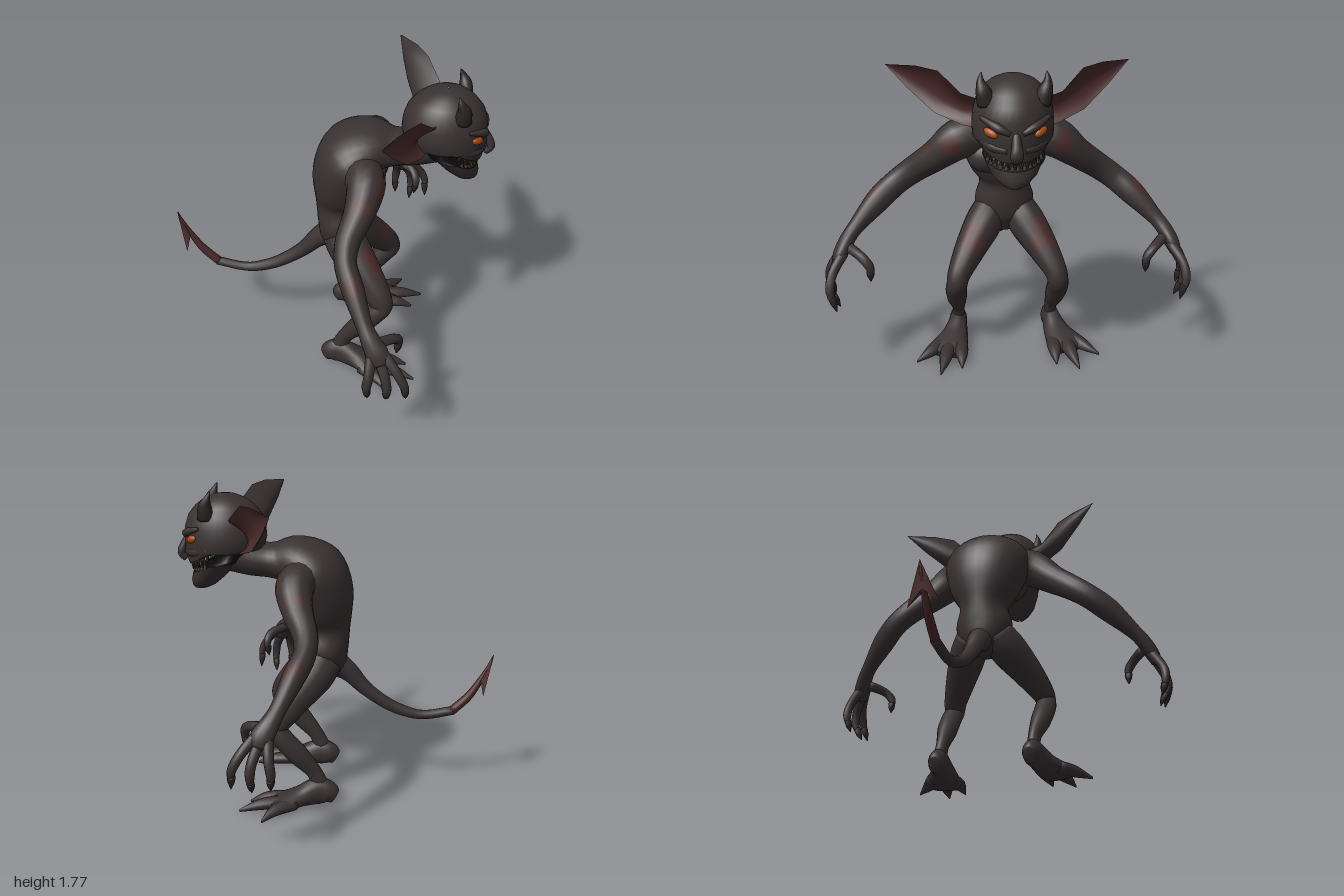
import * as THREE from 'three';

const mat = (name, color, side = THREE.FrontSide) => {
  const m = new THREE.MeshStandardMaterial({ color, side });
  m.name = name;
  return m;
};

// Surface from rows of points; triangles inside a patch sphere [x,y,z,r] use the second material
function grid(rows, closed = true, flip = false, patches = []) {
  const n = rows[0].length, pos = rows.flat().flatMap(p => [p.x, p.y, p.z]);
  const plain = [], marked = [], c = new THREE.Vector3();
  const tri = (a, b, d) => {
    c.set(0, 0, 0);
    for (const k of [a, b, d]) c.add(rows[Math.floor(k / n)][k % n]);
    c.divideScalar(3);
    const hit = patches.some(p => Math.hypot(c.x - p[0], c.y - p[1], c.z - p[2]) < p[3]);
    (hit ? marked : plain).push(...(flip ? [a, d, b] : [a, b, d]));
  };
  for (let i = 0; i < rows.length - 1; i++) {
    for (let j = 0; j < (closed ? n : n - 1); j++) {
      const k = (j + 1) % n, a = i * n + j, b = i * n + k;
      tri(a, b, b + n);
      tri(a, b + n, a + n);
    }
  }
  const g = new THREE.BufferGeometry();
  g.setAttribute('position', new THREE.Float32BufferAttribute(pos, 3));
  g.setIndex([...plain, ...marked]);
  g.addGroup(0, plain.length, 0);
  if (marked.length) g.addGroup(plain.length, marked.length, 1);
  g.computeVertexNormals();
  return g;
}

// Rounded limb through sections [x, y, z, half width along ref, half depth]
function loft(sections, { ref = [0, 0, 1], steps = 4, sides = 16, patches = [], floor = false } = {}) {
  const path = new THREE.CatmullRomCurve3(sections.map(s => new THREE.Vector3(s[0], s[1], s[2])), false, 'catmullrom');
  const size = new THREE.CatmullRomCurve3(sections.map(s => new THREE.Vector3(s[3], s[4] ?? s[3], 0)), false, 'catmullrom');
  const rows = [], count = (sections.length - 1) * steps;
  const ring = (t, scale) => {
    const c = path.getPoint(t), r = size.getPoint(t), T = path.getTangent(t);
    const S = new THREE.Vector3(...ref);
    S.addScaledVector(T, -S.dot(T)).normalize();
    const B = new THREE.Vector3().crossVectors(T, S);
    rows.push(Array.from({ length: sides }, (_, j) => {
      const a = j / sides * Math.PI * 2;
      const p = c.clone().addScaledVector(S, r.x * scale * Math.cos(a)).addScaledVector(B, r.y * scale * Math.sin(a));
      if (floor) p.y = Math.max(0, p.y);
      return p;
    }));
  };
  ring(0, 0);
  for (let i = 0; i <= count; i++) ring(i / count, 1);
  ring(1, 0);
  return grid(rows, true, false, patches);
}

export function createModel() {
  const skin = mat('charcoal skin', 0x393132);
  const red = mat('dull red skin', 0x4a2c2a);
  const earRed = mat('ear lining', 0x4b2b2b);
  const dark = mat('dark claw', 0x2a2424);
  const tooth = mat('dark tooth', 0x43382f);
  const black = mat('mouth black', 0x0d0a0a);
  const orange = mat('orange eye', 0xa84a0c);
  const tailRed = mat('tail red', 0x4a2827, THREE.DoubleSide);

  const root = new THREE.Group();
  root.name = 'impCreature';
  const add = (name, geo, material) => {
    const m = new THREE.Mesh(geo, material);
    m.name = name;
    root.add(m);
    return m;
  };
  const ball = (name, material, at, radii) => {
    const m = add(name, new THREE.SphereGeometry(1, 20, 14), material);
    m.position.set(...at);
    m.scale.set(...radii);
    return m;
  };

  // Hunched torso and neck
  add('torso', loft([
    [.09, .68, 0, .07, .07], [.08, .76, 0, .135, .12], [.08, .86, 0, .165, .135], [.075, .97, 0, .14, .14],
    [.085, 1.06, 0, .19, .165], [.11, 1.18, 0, .235, .195], [.16, 1.29, 0, .26, .2], [.24, 1.355, 0, .21, .145],
    [.36, 1.36, 0, .13, .1], [.48, 1.375, 0, .125, .1], [.6, 1.42, 0, .12, .12],
  ], { sides: 28, patches: [[.28, 1.09, 0, .06]] }), [skin, red]);

  // Head: horizontal rings [y, back x, front x, half width, upward sweep behind the lips]
  const head = [
    [1.2, .765, .79, .004, 0], [1.207, .73, .805, .035, 0], [1.225, .69, .817, .07, 0], [1.255, .63, .82, .115, .02],
    [1.295, .55, .81, .155, .06], [1.3, .52, .69, .135, .07], [1.35, .46, .69, .145, .08], [1.355, .45, .83, .18, .07],
    [1.44, .41, .85, .2, 0], [1.5, .395, .845, .203, 0], [1.56, .4, .845, .198, 0], [1.62, .42, .825, .18, 0],
    [1.67, .46, .785, .15, 0], [1.705, .51, .74, .112, 0], [1.727, .56, .69, .065, 0], [1.735, .62, .63, .004, 0],
  ].map(([y, back, front, half, sweep]) => Array.from({ length: 36 }, (_, j) => {
    const a = j / 36 * Math.PI * 2;
    const x = (back + front) / 2 + (front - back) / 2 * Math.cos(a);
    return new THREE.Vector3(x, y + sweep * THREE.MathUtils.clamp((.82 - x) / .12, 0, 1), -half * Math.sin(a));
  }));
  add('jaw', grid(head.slice(0, 5)), skin);
  add('mouth', grid(head.slice(4, 8)), black);
  add('skull', grid(head.slice(7)), skin);
  add('nose', loft([[.82, 1.51, 0, .02], [.85, 1.455, 0, .025], [.873, 1.405, 0, .032, .022], [.845, 1.37, 0, .025, .02]]), skin);

  // Teeth along both lips
  for (const [name, count, cx, rx, rz, y0, sweep, dir] of [
    ['upperTooth', 13, .64, .172, .165, 1.36, .07, -1], ['lowerTooth', 12, .68, .115, .143, 1.29, .06, 1]]) {
    for (let i = 0; i < count; i++) {
      const a = ((i + .5) / count - .5) * 2.5;
      const x = cx + rx * Math.cos(a);
      const t = add(name, new THREE.ConeGeometry(.013, .06, 6), tooth);
      t.position.set(x, y0 + sweep * THREE.MathUtils.clamp((.82 - x) / .12, 0, 1) + dir * .026, rz * Math.sin(a));
      if (dir < 0) t.rotation.x = Math.PI;
    }
  }

  for (const s of [1, -1]) {
    const side = s > 0 ? 'left' : 'right';
    const mir = list => list.map(([x, y, z, ...r]) => [x, y, z * s, ...r]);

    // Face details
    const eye = ball(side + 'Eye', orange, [.795, 1.5, .118 * s], [.022, .022, .042]);
    eye.rotation.set(-.3 * s, -.67 * s, 0, 'YXZ');
    add(side + 'Brow', loft(mir([[.84, 1.505, .03, .012], [.825, 1.535, .09, .022], [.755, 1.565, .165, .01]]), { ref: [0, 1, 0] }), skin);
    add(side + 'Cheek', loft(mir([[.83, 1.42, .04, .018], [.785, 1.43, .11, .028], [.7, 1.45, .17, .02]]), { ref: [0, 1, 0] }), skin);
    add(side + 'Horn', loft(mir([[.71, 1.62, .13, .05], [.715, 1.68, .148, .038], [.7, 1.725, .16, .02], [.683, 1.767, .156, .002]]), { sides: 10 }), dark);

    // Cupped ear: upper edge, back bulge and lower edge at each station
    const ear = [
      [[.58, 1.6, .17], [.36, 1.5, .15], [.54, 1.43, .15]], [[.58, 1.63, .25], [.34, 1.53, .25], [.52, 1.445, .24]],
      [[.505, 1.725, .36], [.32, 1.6, .36], [.45, 1.49, .38]], [[.44, 1.735, .47], [.32, 1.66, .47], [.385, 1.6, .51]],
      [[.34, 1.717, .62], [.335, 1.715, .62], [.335, 1.713, .62]],
    ].map(st => mir(st).map(p => new THREE.Vector3(...p)));
    const earRows = depth => ear.map(([u, m, l]) => {
      const mid = u.clone().add(l).multiplyScalar(.5).lerp(m, depth);
      return new THREE.QuadraticBezierCurve3(u, mid, l).getPoints(8);
    });
    add(side + 'EarBack', grid(earRows(1), false, s < 0), skin);
    add(side + 'EarLining', grid(earRows(.7), false, s > 0), earRed);

    // Chest muscle
    ball(side + 'Chest', skin, [.235, 1.17, .095 * s], [.095, .095, .12]);

    // Arm, palm and clawed fingers
    add(side + 'Arm', loft(mir([
      [.19, 1.29, .14, .11], [.235, 1.265, .26, .105, .11], [.215, 1.17, .38, .085], [.17, 1.075, .5, .068, .074],
      [.17, 1.0, .6, .06, .07], [.22, .92, .7, .06, .068], [.29, .8, .82, .044], [.33, .74, .87, .05, .042],
      [.37, .68, .905, .06, .04], [.39, .63, .925, .045, .03],
    ]), { ref: [1, 0, 0], patches: mir([[.31, 1.26, .29, .06], [.22, 1.22, .4, .055], [.22, .96, .72, .05]]) }), [skin, red]);
    const fingers = [
      [[.39, .69, .89], [.47, .61, .945], [.52, .52, .96], [.528, .41, .93]],
      [[.38, .66, .91], [.42, .56, .96], [.43, .48, .965], [.425, .385, .92]],
      [[.34, .68, .9], [.335, .58, .965], [.325, .5, .975], [.33, .41, .95]],
      [[.36, .71, .86], [.445, .69, .79], [.47, .635, .745], [.46, .55, .745]],
    ];
    for (const f of fingers) {
      const pts = mir(f.map((p, i) => [...p, [.03, .026, .023, .003][i]]));
      add(side + 'Finger', loft(pts, { ref: [1, 0, 0], sides: 10 }), skin);
      const [a, b] = [pts[2], pts[3]];
      const claw = [0.25, .6, 1].map((t, i) => [0, 1, 2].map(k => a[k] + (b[k] - a[k]) * t).concat([.022, .018, .002][i]));
      add(side + 'FingerClaw', loft(claw, { ref: [1, 0, 0], sides: 8 }), dark);
    }

    // Crouched leg
    add(side + 'Leg', loft(mir([
      [.08, .81, .075, .09, .11], [.14, .73, .12, .105, .12], [.24, .62, .2, .088, .098], [.325, .515, .265, .066, .075],
      [.35, .46, .28, .058, .058], [.31, .405, .285, .06, .058], [.23, .31, .28, .056, .06], [.14, .2, .27, .036, .045],
      [.105, .12, .27, .036, .05],
    ]), { patches: mir([[.3, .68, .2, .065], [.25, .75, .18, .045]]) }), [skin, red]);

    // Long flat foot with pointed toes
    add(side + 'Foot', loft(mir([
      [.02, .045, .27, .035, .045], [.06, .07, .27, .05, .07], [.12, .08, .275, .052, .08], [.22, .055, .295, .075, .057],
      [.32, .035, .33, .105, .042], [.38, .025, .345, .095, .028],
    ]), { floor: true }), skin);
    for (const toe of [
      [[.27, .04, .27], [.4, .035, .265], [.5, .008, .265]], [[.3, .04, .33], [.43, .035, .355], [.555, .008, .385]],
      [[.25, .04, .36], [.35, .035, .43], [.42, .008, .515]],
    ]) {
      add(side + 'Toe', loft(mir(toe.map((p, i) => [...p, [.045, .036, .004][i], [.035, .032, .008][i]])), { floor: true, sides: 12 }), skin);
    }
  }

  // Tail with a red end and barbed tip
  add('tail', loft([
    [.05, .77, 0, .09], [-.05, .71, 0, .06], [-.15, .605, 0, .043], [-.27, .515, 0, .036], [-.38, .462, 0, .032],
    [-.5, .437, 0, .027], [-.67, .465, 0, .026],
  ], { sides: 12 }), skin);
  add('tailEnd', loft([[-.66, .463, 0, .026], [-.75, .55, 0, .024], [-.81, .64, 0, .018], [-.86, .73, 0, .012], [-.885, .8, 0, .003]], { sides: 10 }), tailRed);
  const V = (x, y, z) => new THREE.Vector3(x, y, z);
  const barb = [V(-.825, .585, .088), V(-.815, .67, 0), V(-.825, .585, -.088), V(-.85, .665, 0)];
  add('tailBarb', grid([barb, barb.map(() => V(-.89, .81, 0))]), tailRed);

  return root;
}
